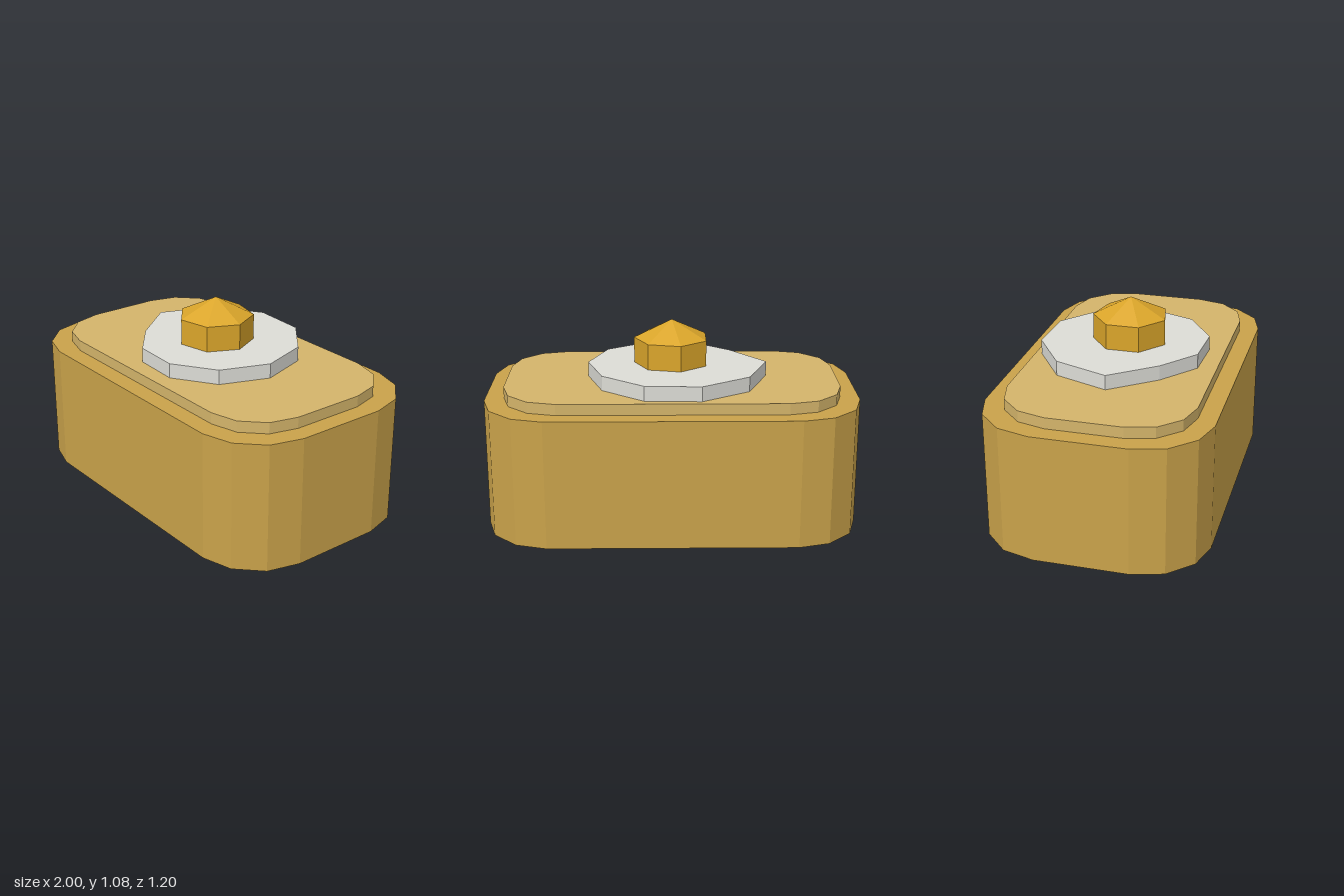
import * as THREE from 'three';

function flat(color) {
  return new THREE.MeshStandardMaterial({ color, flatShading: true });
}

// Upright prism from an [x, z] outline, between heights y0 and y1
function prism(name, outline, y0, y1, material) {
  const shape = new THREE.Shape(outline.map(([x, z]) => new THREE.Vector2(x, -z)));
  const geometry = new THREE.ExtrudeGeometry(shape, { depth: y1 - y0, bevelEnabled: false });
  geometry.rotateX(-Math.PI / 2).translate(0, y0, 0);
  const mesh = new THREE.Mesh(geometry, material);
  mesh.name = name;
  return mesh;
}

// Mirror one corner's points into a full outline
function mirrored(corner) {
  const back = [...corner].reverse();
  return [
    ...corner,
    ...back.map(([x, z]) => [x, -z]),
    ...corner.map(([x, z]) => [-x, -z]),
    ...back.map(([x, z]) => [-x, z]),
  ];
}

export function createModel() {
  const group = new THREE.Group();
  group.name = 'steppedBox';

  // Body and raised lid with chamfered round corners
  const bodyCorner = [[0.66, 0.6], [0.825, 0.552], [0.952, 0.425], [1, 0.25]];
  const lidCorner = [[0.6, 0.5], [0.75, 0.46], [0.86, 0.35], [0.9, 0.2]];
  group.add(prism('body', mirrored(bodyCorner), 0, 0.7, flat(0xc9a24a)));
  group.add(prism('lid', mirrored(lidCorner), 0.7, 0.76, flat(0xd4b46a)));

  // Uneven ten-sided plate
  const radii = [0.457, 0.444, 0.431, 0.419, 0.406, 0.517, 0.502, 0.488, 0.475, 0.459];
  const plate = radii.map((r, i) => {
    const a = (i / radii.length) * Math.PI * 2;
    return [r * Math.cos(a), r * Math.sin(a)];
  });
  group.add(prism('plate', plate, 0.76, 0.84, flat(0xdcdcd6)));

  // Seven-sided knob with a pointed cap
  const gold = flat(0xdaa52a);
  const knob = new THREE.Mesh(new THREE.CylinderGeometry(0.205, 0.205, 0.14, 7), gold);
  knob.name = 'knob';
  knob.position.y = 0.91;
  const cap = new THREE.Mesh(new THREE.ConeGeometry(0.205, 0.1, 7, 1, true), gold);
  cap.name = 'knobCap';
  cap.position.y = 1.03;
  for (const part of [knob, cap]) {
    part.rotation.y = Math.PI / 2;
    group.add(part);
  }

  return group;
}
